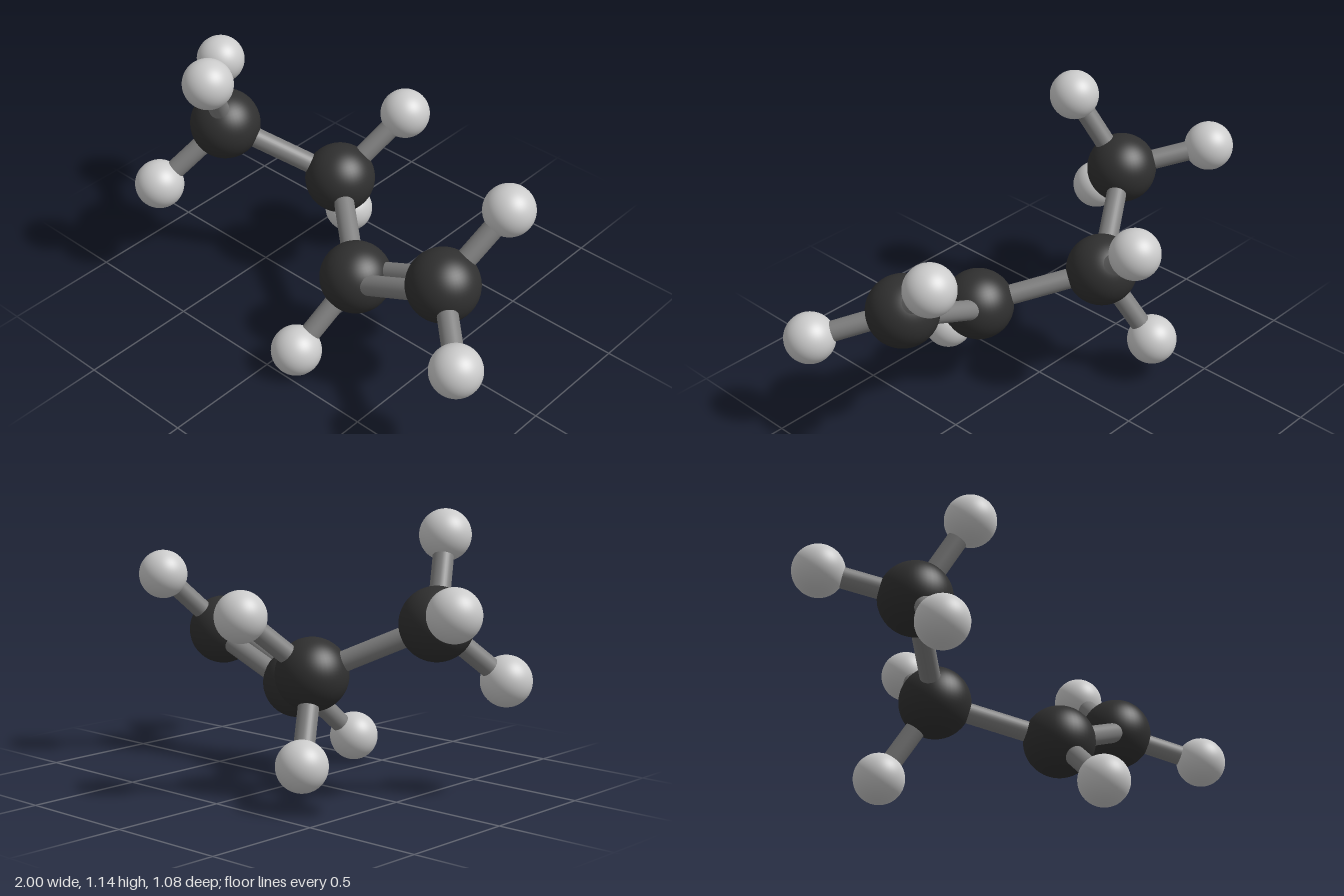
import * as THREE from 'three';

export function createModel() {
  const model = new THREE.Group();
  model.name = 'ballAndStickMolecule';

  const carbonMaterial = new THREE.MeshStandardMaterial({ color: 0x303030 });
  const hydrogenMaterial = new THREE.MeshStandardMaterial({ color: 0xcccccc });
  const bondMaterial = new THREE.MeshStandardMaterial({ color: 0x808080 });
  const carbonBall = new THREE.SphereGeometry(0.148, 48, 32);
  const hydrogenBall = new THREE.SphereGeometry(0.104, 48, 32);
  const up = new THREE.Vector3(0, 1, 0);

  const v = (p) => new THREE.Vector3(...p);

  function addAtom(name, geometry, material, position) {
    const atom = new THREE.Mesh(geometry, material);
    atom.name = name;
    atom.position.copy(position);
    model.add(atom);
  }

  // Rod running between two atom centres, optionally shifted sideways
  function addBond(name, a, b, shift = 0) {
    const dir = b.clone().sub(a);
    const rod = new THREE.Mesh(
      new THREE.CylinderGeometry(0.042, 0.042, dir.length(), 32),
      bondMaterial
    );
    rod.name = name;
    const side = new THREE.Vector3().crossVectors(dir, up).normalize();
    rod.position.copy(a).add(b).multiplyScalar(0.5).addScaledVector(side, shift);
    rod.quaternion.setFromUnitVectors(up, dir.normalize());
    model.add(rod);
  }

  // Carbon chain, each entry with the hydrogens attached to it
  const chain = [
    { at: [-0.617, 0.715, 0.092], hydrogens: [[-0.51, 1.04, 0.274], [-0.896, 0.803, -0.157], [-0.76, 0.473, 0.356]] },
    { at: [-0.2, 0.5, -0.165], hydrogens: [[-0.078, 0.745, -0.438], [-0.318, 0.179, -0.35]] },
    { at: [0.19, 0.37, 0.167], hydrogens: [[0.11, 0.107, 0.438]] },
    { at: [0.623, 0.555, 0.149], hydrogens: [[0.719, 0.815, -0.116], [0.895, 0.447, 0.398]] },
  ];

  chain.forEach(({ at, hydrogens }, i) => {
    const carbon = v(at);
    addAtom(`carbon${i + 1}`, carbonBall, carbonMaterial, carbon);
    hydrogens.forEach((h, j) => {
      addAtom(`hydrogen${i + 1}_${j + 1}`, hydrogenBall, hydrogenMaterial, v(h));
      addBond(`hydrogenBond${i + 1}_${j + 1}`, carbon, v(h));
    });
  });

  // Bonds along the chain, the last one double
  const [c1, c2, c3, c4] = chain.map((c) => v(c.at));
  addBond('chainBond1', c1, c2);
  addBond('chainBond2', c2, c3);
  addBond('doubleBondFront', c3, c4, 0.054);
  addBond('doubleBondBack', c3, c4, -0.054);

  return model;
}
